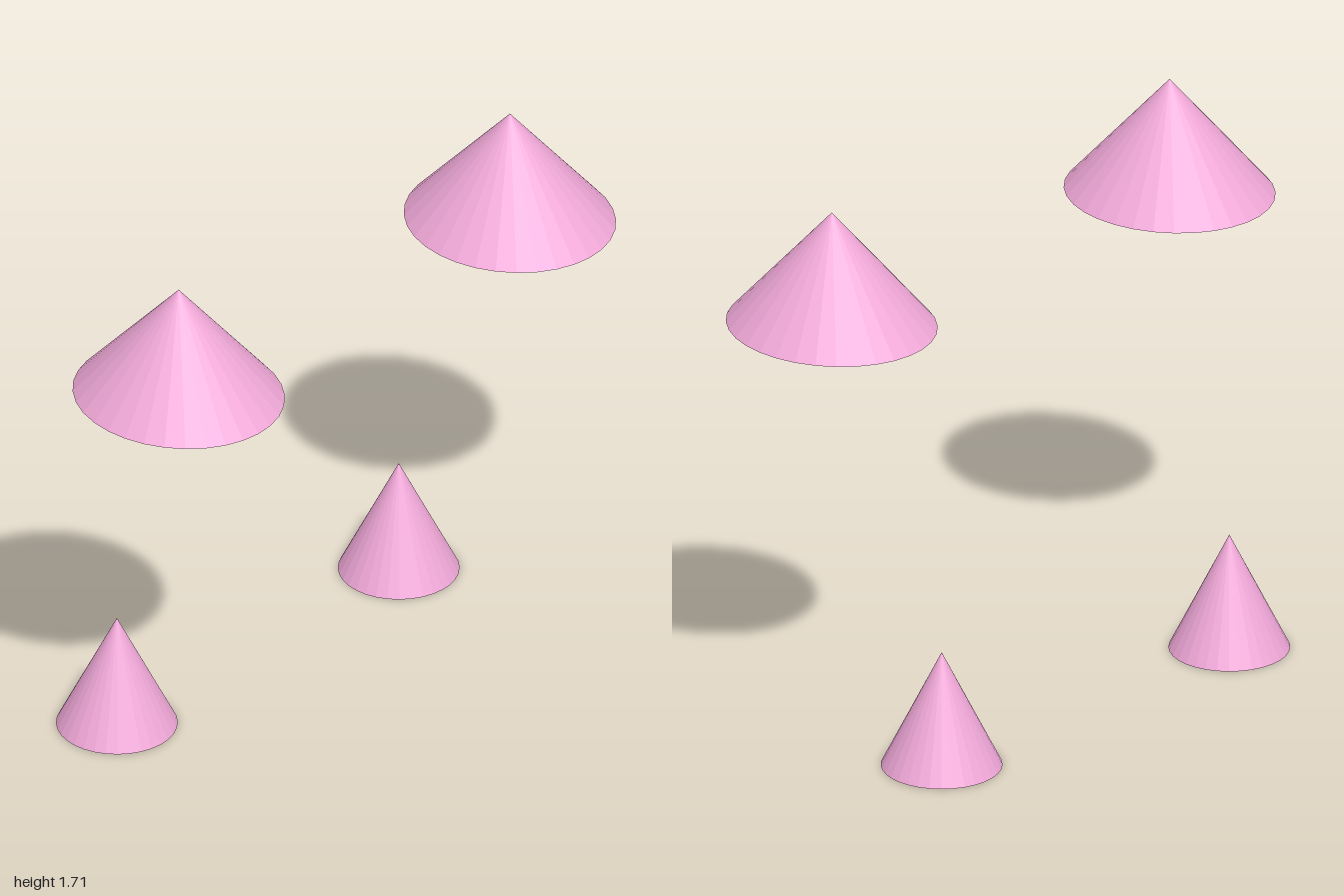
import * as THREE from 'three';

export function createModel() {
  const group = new THREE.Group();
  const pink = new THREE.MeshStandardMaterial({ color: 0xf0a8d8, flatShading: true });

  // Closed cone standing on height y, with an elliptical base
  function addCone(name, [x, y, z], radiusX, radiusZ, height) {
    const geometry = new THREE.ConeGeometry(1, height, 32);
    geometry.scale(radiusX, 1, radiusZ);
    geometry.translate(0, height / 2, 0);
    const cone = new THREE.Mesh(geometry, pink);
    cone.name = name;
    cone.position.set(x, y, z);
    group.add(cone);
  }

  // Wide upper pair
  addCone('upperFrontCone', [0.093, 1.345, 0.696], 0.33, 0.3, 0.362);
  addCone('upperBackCone', [0.109, 1.345, -0.7], 0.33, 0.3, 0.362);

  // Narrow lower pair
  addCone('lowerFrontCone', [-0.256, 0, 0.6], 0.181, 0.181, 0.365);
  addCone('lowerBackCone', [-0.262, 0, -0.608], 0.181, 0.181, 0.365);

  return group;
}
